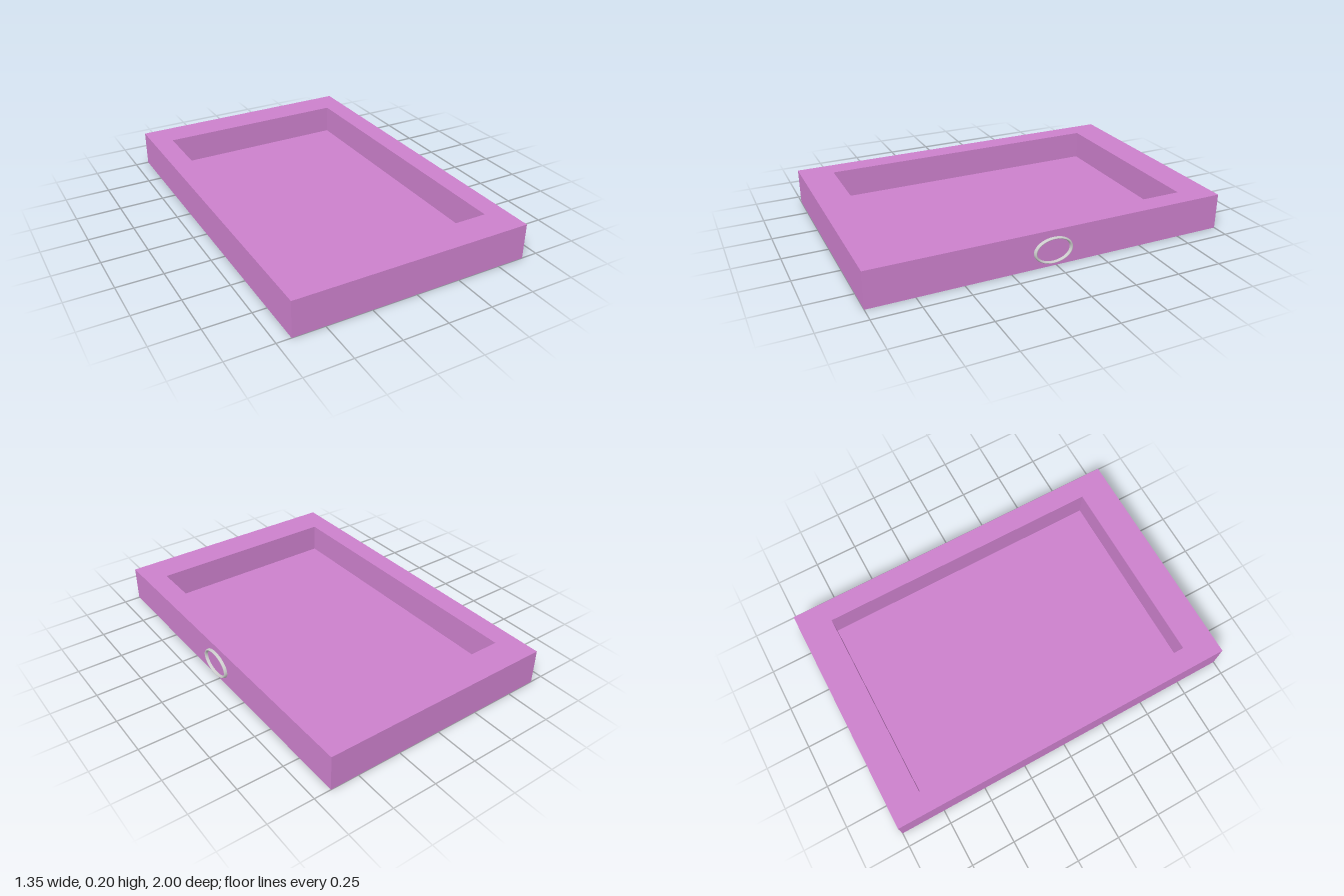
import * as THREE from 'three';

// Axis-aligned rectangle path in plan (x, -z)
function rect(PathType, x0, x1, z0, z1) {
  const p = new PathType();
  p.moveTo(x0, -z1);
  p.lineTo(x1, -z1);
  p.lineTo(x1, -z0);
  p.lineTo(x0, -z0);
  p.closePath();
  return p;
}

export function createModel() {
  const group = new THREE.Group();
  const pink = new THREE.MeshStandardMaterial({ color: 0xcc80cc });
  const grey = new THREE.MeshStandardMaterial({ color: 0xcccccc });

  const height = 0.2, floorY = 0.035;
  const outer = [-0.673, 0.657, -1, 1];
  const inner = [-0.555, 0.537, -0.82, 0.818];

  // Tray: solid base slab with a rim standing on it
  const tray = new THREE.Group();
  tray.name = 'tray';

  const addSlab = (name, y, h, hole) => {
    const shape = rect(THREE.Shape, ...outer);
    if (hole) shape.holes.push(rect(THREE.Path, ...hole));
    const geo = new THREE.ExtrudeGeometry(shape, { depth: h, bevelEnabled: false });
    geo.rotateX(-Math.PI / 2);
    const mesh = new THREE.Mesh(geo, pink);
    mesh.name = name;
    mesh.position.y = y;
    tray.add(mesh);
  };
  addSlab('trayFloor', 0, floorY);
  addSlab('trayRim', floorY, height - floorY, inner);
  group.add(tray);

  // Oval ring handle, half sunk into the left side wall
  const ringGeo = new THREE.TorusGeometry(0.102, 0.008, 16, 64);
  ringGeo.rotateY(Math.PI / 2);
  ringGeo.scale(2, 0.655, 1);
  const ring = new THREE.Mesh(ringGeo, grey);
  ring.name = 'handleRing';
  ring.position.set(0.657, 0.09, 0.02);
  group.add(ring);

  return group;
}
